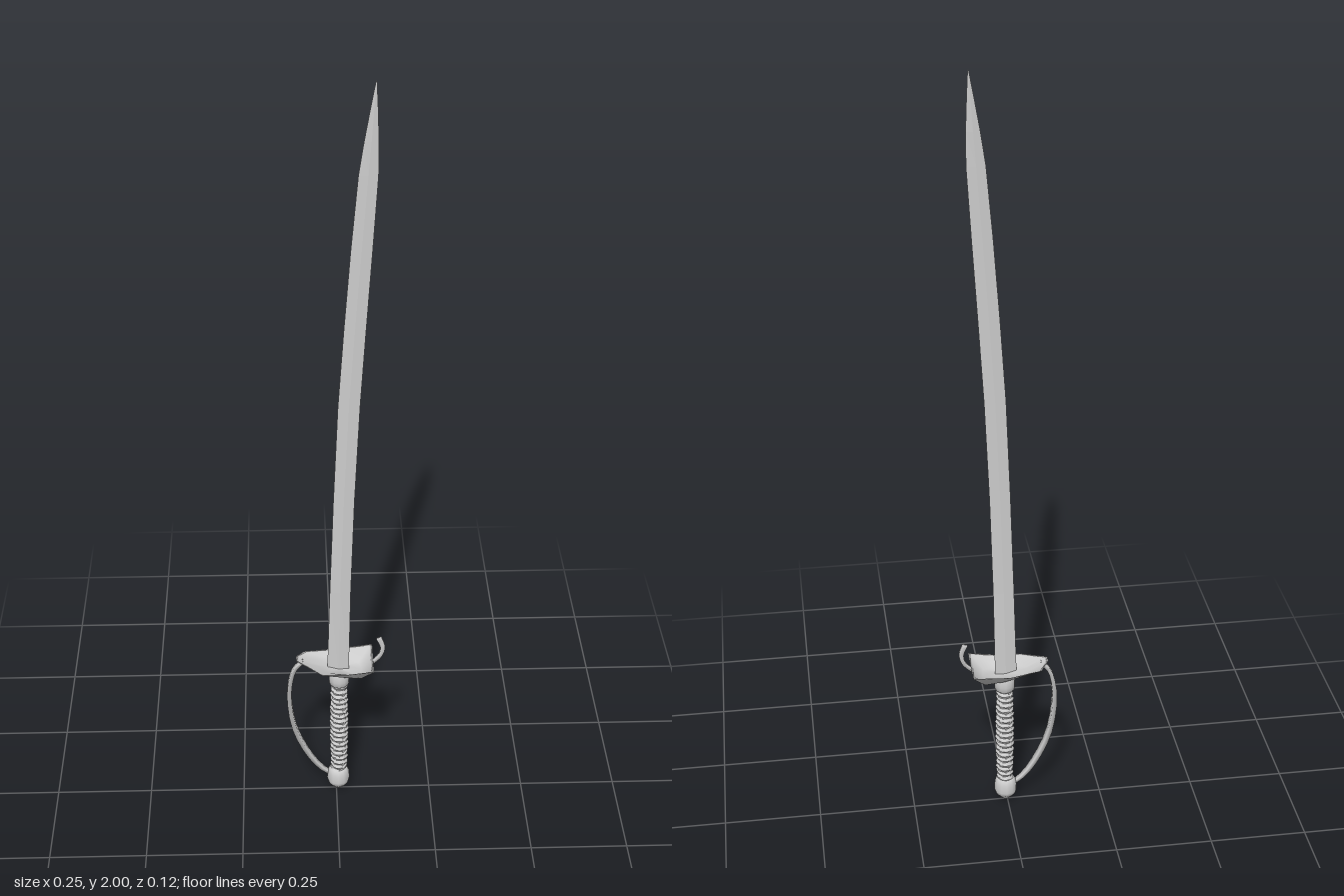
import * as THREE from 'three';

const steel = new THREE.MeshStandardMaterial({ color: 0xcccccc, side: THREE.DoubleSide });
const faceted = new THREE.MeshStandardMaterial({ color: 0xcccccc, side: THREE.DoubleSide, flatShading: true });

// Skin a list of equal-length closed cross-sections, optionally capping both ends
function loft(sections, caps = false) {
  const n = sections[0].length, index = [];
  for (let i = 0; i < sections.length - 1; i++) {
    for (let j = 0; j < n; j++) {
      const a = i * n + j, b = i * n + (j + 1) % n;
      index.push(a, b, a + n, b, b + n, a + n);
    }
  }
  if (caps) {
    const last = (sections.length - 1) * n;
    for (let j = 1; j < n - 1; j++) index.push(0, j + 1, j, last, last + j, last + j + 1);
  }
  const g = new THREE.BufferGeometry();
  g.setAttribute('position', new THREE.Float32BufferAttribute(sections.flat(2), 3));
  g.setIndex(index);
  g.computeVertexNormals();
  return g;
}

// Strap following a curve in the xy plane; size(t) gives [half width in z, half thickness]
function strap(points, steps, size) {
  const curve = new THREE.CatmullRomCurve3(points.map(([x, y]) => new THREE.Vector3(x, y, 0)));
  const sections = [];
  for (let i = 0; i <= steps; i++) {
    const t = i / steps, p = curve.getPoint(t), d = curve.getTangent(t);
    const [w, h] = size(t);
    sections.push([[-1, -1], [1, -1], [1, 1], [-1, 1]].map(([s, u]) =>
      [p.x - d.y * h * u, p.y + d.x * h * u, w * s]));
  }
  return loft(sections, true);
}

export function createModel() {
  const root = new THREE.Group();
  const gripX = 0.007;
  const add = (name, geometry, material, x = 0) => {
    const mesh = new THREE.Mesh(geometry, material);
    mesh.name = name;
    mesh.position.x = x;
    root.add(mesh);
  };

  // Curved blade: [y, back edge x, cutting edge x], thin diamond section
  const bladeRows = [
    [0.40, -0.024, 0.032], [0.65, -0.017, 0.036], [0.92, -0.008, 0.044], [1.19, 0.003, 0.056],
    [1.40, 0.017, 0.069], [1.60, 0.032, 0.082], [1.78, 0.048, 0.093], [1.86, 0.060, 0.093],
    [1.94, 0.074, 0.090], [2.00, 0.085, 0.087],
  ];
  add('blade', loft(bladeRows.map(([y, a, b]) => {
    const z = Math.min(0.0028, (b - a) * 0.1), m = a + (b - a) * 0.5;
    return [[a, y, 0], [m, y, z], [b, y, 0], [m, y, -z]];
  }), true), faceted);

  // Dished guard plate: pointed at the bow side, square at the other
  const rim = [
    [-0.105, 0.440, 0.010], [-0.038, 0.426, 0.055], [0.03, 0.428, 0.057], [0.095, 0.437, 0.059],
    [0.095, 0.431, 0], [0.095, 0.437, -0.061], [0, 0.428, -0.056], [-0.083, 0.432, -0.041], [-0.105, 0.440, -0.010],
  ];
  const floor = [
    [-0.053, 0.412, 0.004], [-0.025, 0.406, 0.028], [0.02, 0.400, 0.032], [0.062, 0.396, 0.032],
    [0.068, 0.399, 0], [0.062, 0.396, -0.032], [0.01, 0.401, -0.032], [-0.038, 0.408, -0.024], [-0.053, 0.412, -0.004],
  ];
  const raise = (ring, shrink, dy) => ring.map(([x, y, z]) => [x * shrink, y + dy, z * shrink]);
  const centre = floor.map(() => [gripX, 0.400, 0]);
  add('guard', loft([centre, floor, rim, raise(rim, 0.93, -0.002), raise(floor, 0.95, 0.006), raise(centre, 1, 0.006)]), steel);

  // Upright hooked finial beside the blade, swelling then tapering
  add('guardHook', strap(
    [[0.075, 0.410], [0.098, 0.430], [0.114, 0.450], [0.119, 0.475], [0.109, 0.503]], 14,
    t => [0.0055 - 0.0025 * t, 0.003 + 0.004 * t]), steel);

  // Knuckle bow from the guard down to the pommel
  add('knuckleBow', strap(
    [[-0.085, 0.432], [-0.108, 0.408], [-0.121, 0.36], [-0.123, 0.30], [-0.110, 0.21], [-0.078, 0.13], [-0.042, 0.075], [-0.005, 0.045]], 16,
    t => [0.005 + 0.006 * Math.sin(Math.PI * t), 0.004 + 0.002 * Math.sin(Math.PI * t)]), steel);

  // Grip with swelling profile and knotted, twisted wire wrap
  const gripRows = [];
  const rows = 76, sides = 16, turns = 19;
  for (let i = 0; i <= rows; i++) {
    const t = i / rows, ring = [];
    for (let j = 0; j < sides; j++) {
      const a = j / sides * Math.PI * 2;
      const wire = Math.sin(t * Math.PI * 2 * turns + a) * (0.7 + 0.3 * Math.sin(5 * a - t * 40));
      const r = 0.0195 + 0.003 * Math.sin(Math.PI * t) + 0.0035 * wire;
      ring.push([Math.sin(a) * r, 0.065 + 0.30 * t, Math.cos(a) * r]);
    }
    gripRows.push(ring);
  }
  add('grip', loft(gripRows), faceted, gripX);

  // Collar under the guard and the pommel
  const lathe = profile => new THREE.LatheGeometry(profile.map(p => new THREE.Vector2(...p)), 12);
  add('collar', lathe([[0.019, 0.354], [0.026, 0.361], [0.027, 0.375], [0.027, 0.392], [0.022, 0.402]]), steel, gripX);
  add('pommel', lathe([[0, 0], [0.010, 0.006], [0.027, 0.025], [0.030, 0.036], [0.029, 0.060], [0.022, 0.073], [0, 0.075]]), steel, gripX - 0.002);

  return root;
}
